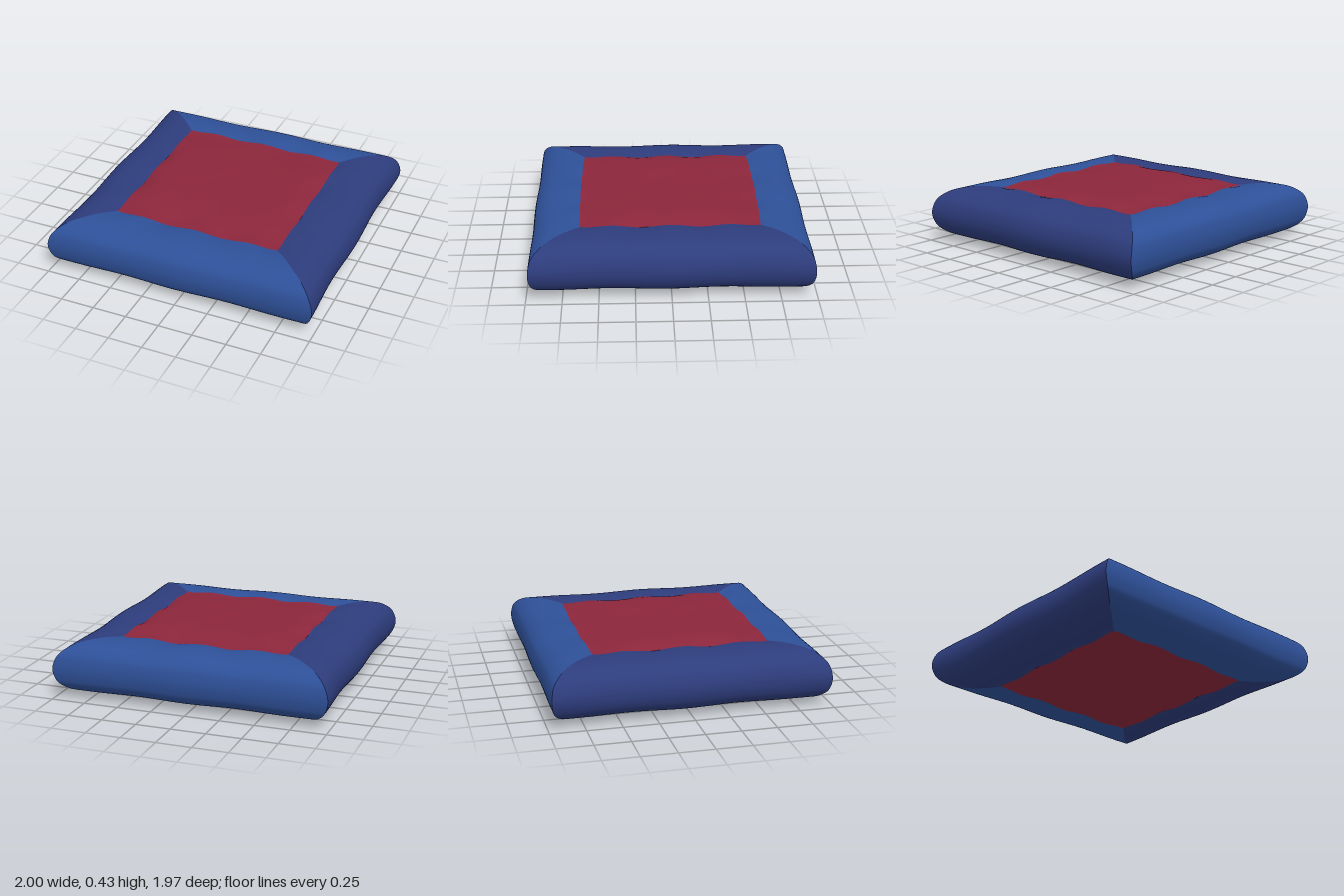
import * as THREE from 'three';

const MID = 0.216; // height of the horizontal symmetry plane

// Half of the bolster profile: x half-width, height from MID, z half-width
const half = [
  [0.615, 0.18, 0.628], [0.70, 0.19, 0.71], [0.79, 0.187, 0.80],
  [0.89, 0.162, 0.89], [0.963, 0.105, 0.955], [0.991, 0.05, 0.973],
];
const profile = new THREE.CatmullRomCurve3([
  ...half.map(([x, y, z]) => new THREE.Vector3(x, y, z)),
  new THREE.Vector3(1, 0, 0.978),
  ...half.slice().reverse().map(([x, y, z]) => new THREE.Vector3(x, -y, z)),
]);

// Scalloped seam height, zero at the corners
const seam = (s) => 0.008 * (1 - s ** 8) * Math.cos(3 * Math.PI * s);

// Smooth sheet whose points follow place(u, v), u and v from -1 to 1
function sheet(name, color, nu, nv, place) {
  const geo = new THREE.PlaneGeometry(2, 2, nu, nv);
  const pos = geo.attributes.position;
  for (let i = 0; i < pos.count; i++) {
    pos.setXYZ(i, ...place(pos.getX(i), -pos.getY(i)));
  }
  geo.computeVertexNormals();
  const mesh = new THREE.Mesh(geo,
    new THREE.MeshStandardMaterial({ color, side: THREE.DoubleSide }));
  mesh.name = name;
  return mesh;
}

// One mitred bolster along x (front/back) or z (left/right)
function bolster(name, color, alongX, sign) {
  return sheet(name, color, 48, 48, (s, v) => {
    const p = profile.getPoint((v + 1) / 2);
    const inner = Math.abs(v) ** 6;      // 1 at the seam
    const outer = 1 - Math.abs(v);       // 1 at the outer rim
    const rise = Math.sign(v) * -1;
    const fade = 1 - s * s;
    const pucker = 0.004 * fade * Math.sin(7 * s + 2) * Math.abs(v) * outer * 4;
    const y = MID + p.y + rise * (seam(s) * inner + pucker - (alongX ? 0.008 * fade * outer * Math.abs(v) : 0));
    if (alongX) {
      const z = p.z + 0.012 * fade * inner + 0.005 * fade * outer * Math.cos(2 * Math.PI * s);
      return [sign * s * p.x, y, sign * z];
    }
    const x = p.x - 0.017 * outer * Math.sin(Math.PI * s) ** 2 - 0.006 * outer * fade;
    return [sign * x, y, -sign * s * p.z];
  });
}

// Puffed centre panel; side is 1 for the top, -1 for the bottom
function panel(name, side) {
  return sheet(name, 0x8c263b, 48, 48, (a, b) => {
    const puffX = (1 - a ** 4) * (0.75 + 1.1 * a * a);
    const puffZ = (1 - b * b) ** 2.2 * (0.9 + 2.5 * b * b);
    const edge = seam(a) * b ** 8 + seam(b) * a ** 8;
    const wrinkle = 0.003 * (1 - a * a) * (1 - b * b) * Math.sin(9 * a) * Math.sin(8 * b + 1);
    const h = 0.18 + 0.036 * puffX * puffZ + edge + wrinkle;
    return [side * a * 0.615, MID + side * h, b * (0.628 + 0.012 * (1 - a * a))];
  });
}

export function createModel() {
  const cushion = new THREE.Group();
  cushion.name = 'cushion';
  const blue = 0x2e5098, darkBlue = 0x2d3c7c;
  cushion.add(
    bolster('frontBolster', blue, true, 1),
    bolster('backBolster', blue, true, -1),
    bolster('leftBolster', darkBlue, false, 1),
    bolster('rightBolster', darkBlue, false, -1),
    panel('topPanel', 1),
    panel('bottomPanel', -1),
  );
  return cushion;
}
